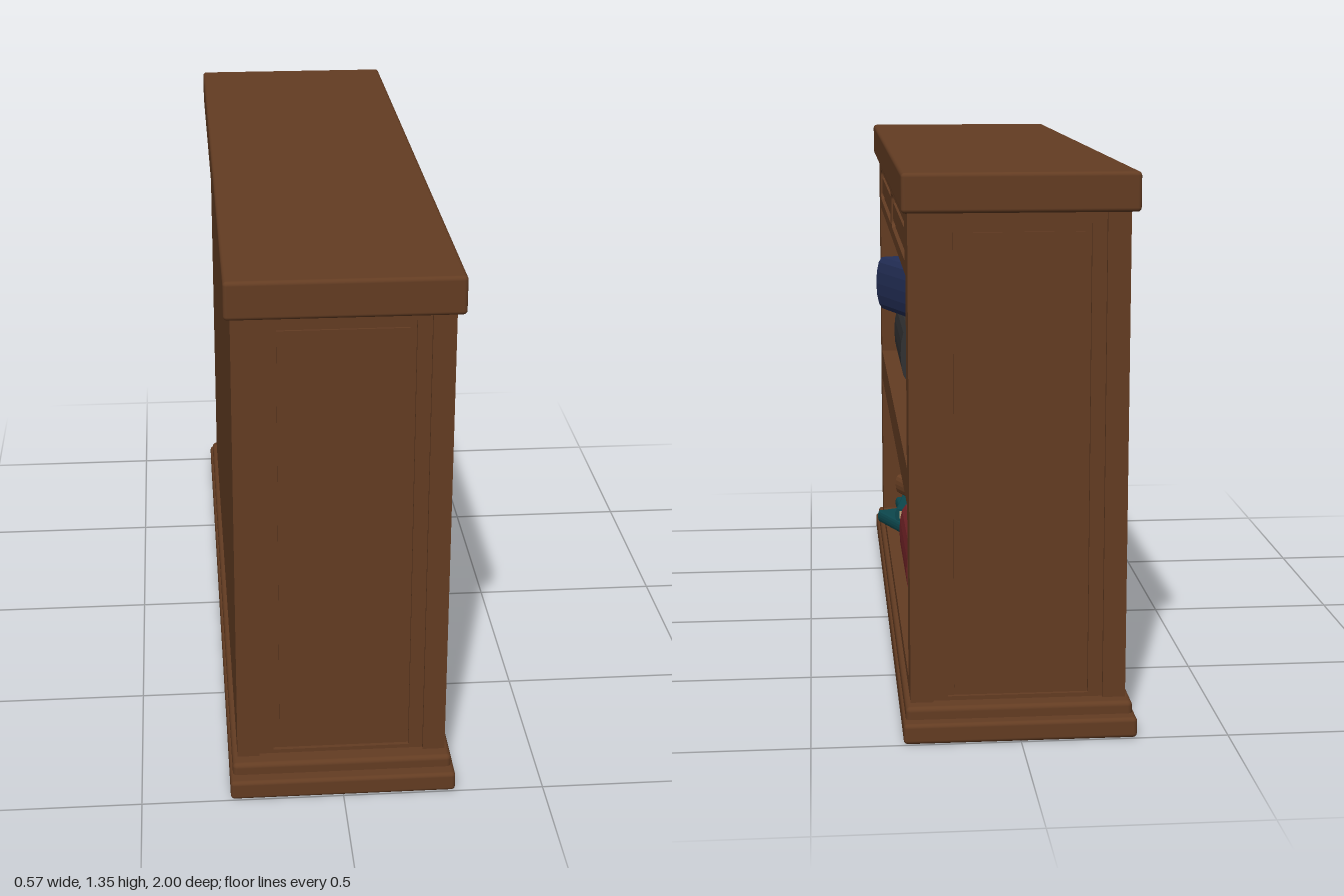
import * as THREE from 'three';
import { RoundedBoxGeometry } from 'three/addons/geometries/RoundedBoxGeometry.js';

const mat = (name, color) => {
  const m = new THREE.MeshStandardMaterial({ color });
  m.name = name;
  return m;
};

export function createModel() {
  const model = new THREE.Group();
  model.name = 'bookcase';
  const wood = mat('walnut wood', 0x633c22);
  const paper = mat('cream paper', 0xc0a177);
  const blue = mat('navy cloth', 0x232e56);
  const green = mat('green cloth', 0x233c10);
  const grey = mat('charcoal cloth', 0x313132);
  const crimson = mat('crimson cloth', 0x722327);
  const darkRed = mat('dark red leather', 0x4c1010);
  const brightRed = mat('bright red board', 0x8a2308);
  const teal = mat('teal cloth', 0x0d474d);
  const brown = mat('brown leather', 0x6a4024);

  const add = (name, geometry, material, parent = model) => {
    const m = new THREE.Mesh(geometry, material);
    m.name = name;
    parent.add(m);
    return m;
  };
  // box given by its limits
  const box = (name, x0, x1, y0, y1, z0, z1, material = wood, parent = model) => {
    const m = add(name, new THREE.BoxGeometry(x1 - x0, y1 - y0, z1 - z0), material, parent);
    m.position.set((x0 + x1) / 2, (y0 + y1) / 2, (z0 + z1) / 2);
    return m;
  };
  // rectangle outline, optionally with round corners
  const rect = (x0, x1, y0, y1, r = 0) => {
    const s = new THREE.Shape();
    if (!r) {
      s.moveTo(x0, y0).lineTo(x1, y0).lineTo(x1, y1).lineTo(x0, y1).closePath();
    } else {
      s.absarc(x1 - r, y0 + r, r, -Math.PI / 2, 0);
      s.absarc(x1 - r, y1 - r, r, 0, Math.PI / 2);
      s.absarc(x0 + r, y1 - r, r, Math.PI / 2, Math.PI);
      s.absarc(x0 + r, y0 + r, r, Math.PI, Math.PI * 1.5);
      s.closePath();
    }
    return s;
  };
  const extrude = (shape, depth) =>
    new THREE.ExtrudeGeometry(shape, { depth, bevelEnabled: false, curveSegments: 6 });
  // slab cut in the z-y plane and running from x0 to x1
  const slabX = (name, shape, x0, x1) => {
    const m = add(name, extrude(shape, x1 - x0), wood);
    m.rotation.y = Math.PI / 2;
    m.position.x = x0;
  };

  // plinth and crown
  const rounded = (name, hx, y0, y1, hz, r) => {
    const m = add(name, new RoundedBoxGeometry(hx * 2, y1 - y0, hz * 2, 3, r), wood);
    m.position.y = (y0 + y1) / 2;
  };
  rounded('plinth', 0.28, 0, 0.05, 1, 0.01);
  rounded('plinthMoulding', 0.273, 0.035, 0.08, 0.966, 0.012);
  rounded('crown', 0.276, 1.26, 1.353, 0.978, 0.01);

  // carcass with two shelf openings
  const openings = () => [rect(-0.825, 0.825, 0.11, 0.542), rect(-0.825, 0.825, 0.635, 1.1)];
  const body = rect(-0.91, 0.91, 0.06, 1.28);
  body.holes.push(...openings());
  slabX('carcass', body, -0.22, 0.25);
  box('backBoard', -0.26, -0.22, 0.06, 1.28, -0.91, 0.91);

  // face frame with two sunken frieze panels
  const friezes = [[-0.79, -0.038], [0.035, 0.787]];
  const face = rect(-0.91, 0.91, 0.06, 1.28);
  face.holes.push(...openings(), ...friezes.map(([a, b]) => rect(a, b, 1.13, 1.222, 0.018)));
  slabX('faceFrame', face, 0.25, 0.26);
  for (const [a, b] of friezes) {
    slabX('friezePanel', rect(a + 0.022, b - 0.022, 1.152, 1.2, 0.022), 0.249, 0.257);
  }

  // panelled ends
  for (const side of [1, -1]) {
    const end = new THREE.Group();
    end.name = side > 0 ? 'frontEnd' : 'backEnd';
    const frame = rect(-0.206, 0.206, 0.06, 1.28);
    frame.holes.push(rect(-0.17, 0.17, 0.09, 1.23));
    add('endFrame', extrude(frame, 0.01), wood, end);
    add('endPanel', extrude(rect(-0.154, 0.154, 0.11, 1.21), 0.006), wood, end);
    for (const x of [-0.26, 0.205]) box('stile', x, x + 0.055, 0.06, 1.28, 0, 0.02, wood, end);
    end.position.z = side * 0.91;
    if (side < 0) end.rotation.y = Math.PI;
    model.add(end);
  }

  // lying book: depth along x with the spine at +x, thickness along y, length along z
  const book = (name, d, t, l, cover, spineCover = cover) => {
    const g = new THREE.Group();
    g.name = name;
    const b = Math.min(0.01, t * 0.15);
    const bulge = Math.min(0.02, t * 0.2);
    const xs = d / 2 - bulge;
    for (const y of [-t / 2, t / 2 - b]) box('coverBoard', -d / 2, xs, y, y + b, -l / 2, l / 2, cover, g);
    box('pages', -d / 2 + 0.01, xs, -t / 2 + b, t / 2 - b, -l / 2 + 0.01, l / 2 - 0.01, paper, g);
    const s = new THREE.Shape();
    s.moveTo(xs - 0.006, -t / 2).lineTo(xs, -t / 2);
    s.bezierCurveTo(d / 2 + bulge * 0.3, -t * 0.42, d / 2 + bulge * 0.3, t * 0.42, xs, t / 2);
    s.lineTo(xs - 0.006, t / 2).closePath();
    add('spine', extrude(s, l), spineCover, g).position.z = -l / 2;
    model.add(g);
    return g;
  };
  // book lying on height y0
  const lying = (name, x, y0, z, d, t, l, turn, cover, spine) => {
    const g = book(name, d, t, l, cover, spine);
    g.position.set(x, y0 + t / 2, z);
    g.rotation.y = turn;
  };
  // book standing on height y0 between z0 and z1, spine front at x1
  const standing = (name, x1, y0, z0, z1, d, h, cover, spine) => {
    const g = book(name, d, z1 - z0, h, cover, spine);
    g.position.set(x1 - d / 2, y0 + h / 2, (z0 + z1) / 2);
    g.rotation.x = -Math.PI / 2;
  };

  // upper shelf
  lying('charcoalBook', 0.09, 0.635, 0.508, 0.27, 0.162, 0.445, 0, grey);
  lying('navyLyingBook', 0.07, 0.798, 0.51, 0.3, 0.162, 0.42, 0.35, blue);
  for (let i = 0; i < 4; i++) {
    const z = -0.145 + i * 0.056;
    standing('thinRedBook', 0.11, 0.635, z, z + 0.052, 0.17, 0.265, brightRed, darkRed);
  }
  standing('navyBook', 0.2, 0.635, -0.325, -0.16, 0.3, 0.435, blue);
  standing('greenBook', 0.2, 0.635, -0.5, -0.335, 0.3, 0.435, green);
  const leaning = book('leaningBook', 0.3, 0.159, 0.438, grey);
  leaning.position.set(0.06, 0.864, -0.66);
  leaning.rotation.x = -Math.PI / 2 - 0.447;

  // lower shelf
  for (let i = 0; i < 3; i++) {
    const z = -0.765 + i * 0.17;
    standing('crimsonBook', 0.225, 0.11, z, z + 0.157, 0.3, 0.43, crimson);
  }
  lying('crimsonLyingBook', 0.105, 0.11, 0.018, 0.26, 0.16, 0.44, 0, crimson);
  lying('smallRedBook', 0.11, 0.27, 0.06, 0.19, 0.055, 0.26, 0.06, brightRed, darkRed);
  lying('brownBook', 0.11, 0.325, 0.08, 0.19, 0.055, 0.26, 0.4, brown);
  lying('tealBook', 0.12, 0.11, 0.54, 0.22, 0.037, 0.33, 0.4, teal);
  lying('tealBook', 0.11, 0.147, 0.515, 0.22, 0.037, 0.33, 0.05, teal);
  lying('tealBook', 0.11, 0.184, 0.515, 0.22, 0.037, 0.31, -0.15, teal);

  return model;
}
